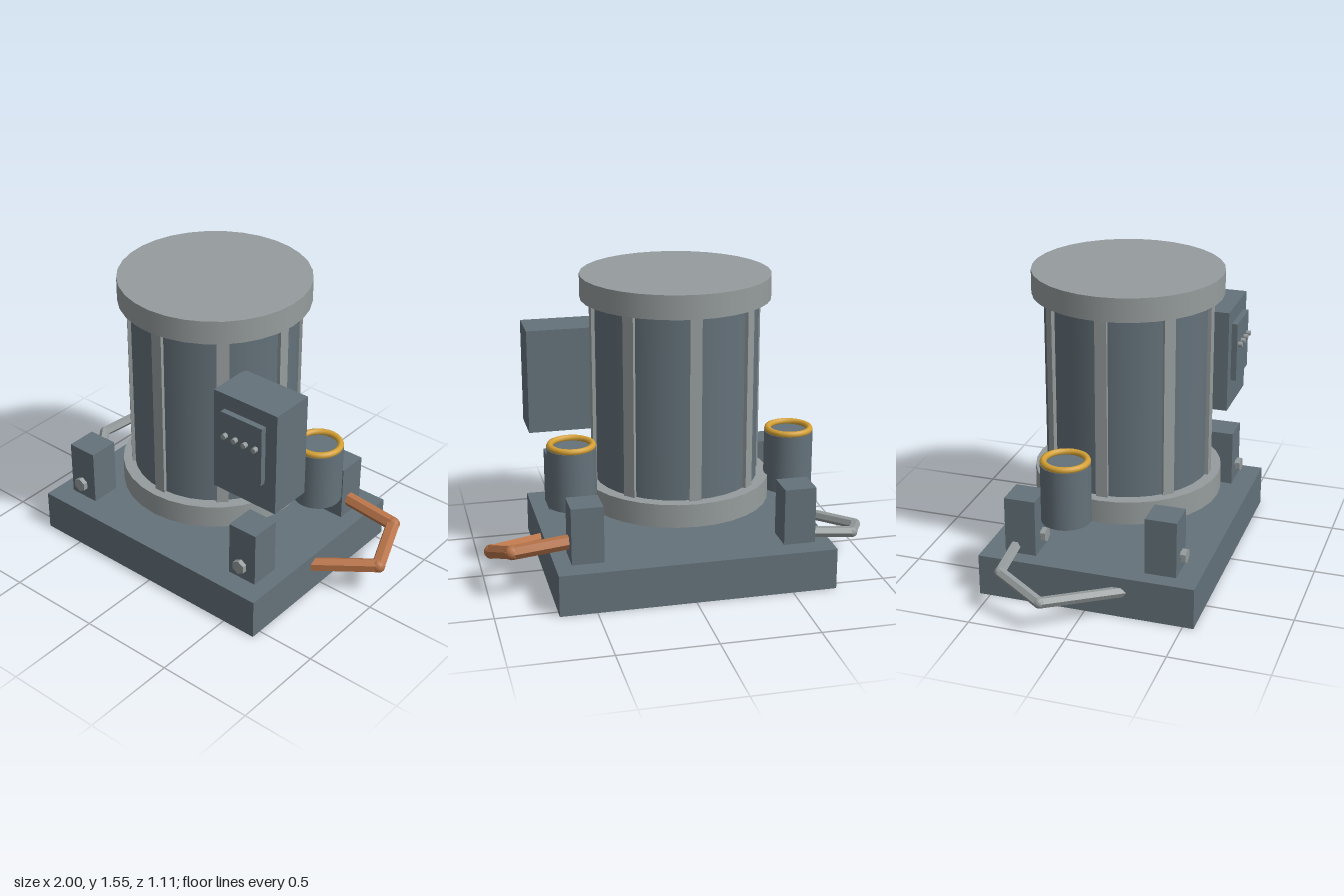
import * as THREE from 'three';

const mat = (name, color) => {
  const m = new THREE.MeshStandardMaterial({ color });
  m.name = name;
  return m;
};

// Gives a low-sided geometry hard facets
function faceted(geometry) {
  const g = geometry.toNonIndexed();
  g.computeVertexNormals();
  return g;
}

export function createModel() {
  const steel = mat('blue grey steel', 0x64727a);
  const grey = mat('light grey metal', 0x969c9d);
  const copper = mat('copper', 0xb87449);
  const brass = mat('brass', 0xd6a236);

  const model = new THREE.Group();
  model.name = 'compressorUnit';
  const CX = -0.02; // axis of the tank and base

  function add(name, geometry, material, x, y, z, parent = model) {
    const mesh = new THREE.Mesh(geometry, material);
    mesh.name = name;
    mesh.position.set(x, y, z);
    parent.add(mesh);
    return mesh;
  }
  const box = (w, h, d) => new THREE.BoxGeometry(w, h, d);
  const cyl = (r, h, sides = 32) => new THREE.CylinderGeometry(r, r, h, sides);
  const hex = (r, h) => faceted(cyl(r, h, 6));

  // Base and tank
  add('base', box(1.415, 0.215, 1.11), steel, CX, 0.1075, 0);
  add('tankBody', cyl(0.42, 1.06), steel, CX, 0.96, 0);
  add('bottomFlange', cyl(0.48, 0.12), grey, CX, 0.435, 0);
  add('topCap', cyl(0.48, 0.12), grey, CX, 1.49, 0);

  // Ribs round the tank and bolts below the flange
  for (let i = 0; i < 8; i++) {
    const a = (i * Math.PI) / 4;
    const s = Math.sin(a), c = Math.cos(a);
    const rib = add('tankRib', box(0.06, 0.98, 0.03), grey, CX + 0.42 * s, 0.96, 0.42 * c);
    rib.rotation.y = a;
    add('flangeBolt', hex(0.043, 0.04), grey, CX + 0.39 * s, 0.387, 0.39 * c);
  }

  // Side canisters with brass rims
  for (const side of [-1, 1]) {
    const canister = new THREE.Group();
    canister.name = side > 0 ? 'leftCanister' : 'rightCanister';
    canister.position.set(CX + side * 0.566, 0, -0.138);
    model.add(canister);
    add('canisterBody', cyl(0.125, 0.305, 24), steel, 0, 0.5675, 0, canister);
    const rim = add('canisterRim', new THREE.TorusGeometry(0.108, 0.017, 8, 28), brass, 0, 0.73, 0, canister);
    rim.rotation.x = Math.PI / 2;
  }

  // Corner posts, each with a bolt facing forward
  for (const x of [CX - 0.543, CX + 0.543]) {
    for (const z of [-0.362, 0.362]) {
      const post = new THREE.Group();
      post.name = 'mountingPost';
      post.position.set(x, 0, z);
      model.add(post);
      add('post', box(0.163, 0.3, 0.16), steel, 0, 0.36, 0, post);
      add('boltShaft', cyl(0.022, 0.04, 12), grey, 0, 0.3, 0.082, post).rotation.x = Math.PI / 2;
      add('boltHead', hex(0.038, 0.025), grey, 0, 0.3, 0.1, post).rotation.x = Math.PI / 2;
    }
  }

  // Control box with panel and knobs
  add('controlBox', box(0.375, 0.545, 0.23), steel, 0.522, 0.9625, 0.315);
  add('controlPanel', box(0.245, 0.315, 0.04), steel, 0.522, 0.9975, 0.44);
  for (let i = 0; i < 4; i++) {
    add('panelKnob', cyl(0.014, 0.03, 12), grey, 0.432 + i * 0.06, 1.035, 0.467).rotation.x = Math.PI / 2;
  }

  // Bent pipes: straight six-sided runs joined by round elbows
  function pipe(name, material, radius, points) {
    const group = new THREE.Group();
    group.name = name;
    model.add(group);
    const path = points.map((p) => new THREE.Vector3(...p));
    for (let i = 0; i < path.length - 1; i++) {
      const dir = path[i + 1].clone().sub(path[i]);
      const mid = path[i].clone().addScaledVector(dir, 0.5);
      const run = add('pipeRun', hex(radius, dir.length()), material, mid.x, mid.y, mid.z, group);
      run.quaternion.setFromUnitVectors(new THREE.Vector3(0, 1, 0), dir.normalize());
      if (i > 0) {
        add('pipeElbow', new THREE.SphereGeometry(radius, 10, 8), material, path[i].x, path[i].y, path[i].z, group);
      }
    }
  }
  pipe('copperPipe', copper, 0.037, [
    [0.55, 0.305, -0.345], [0.885, 0.27, -0.345], [0.963, 0.182, -0.11], [0.65, 0.146, 0.075],
  ]);
  pipe('greyPipe', grey, 0.028, [
    [-0.6, 0.257, -0.392], [-0.865, 0.225, -0.383], [-0.972, 0.158, -0.14], [-0.7, 0.133, 0.205],
  ]);

  return model;
}
